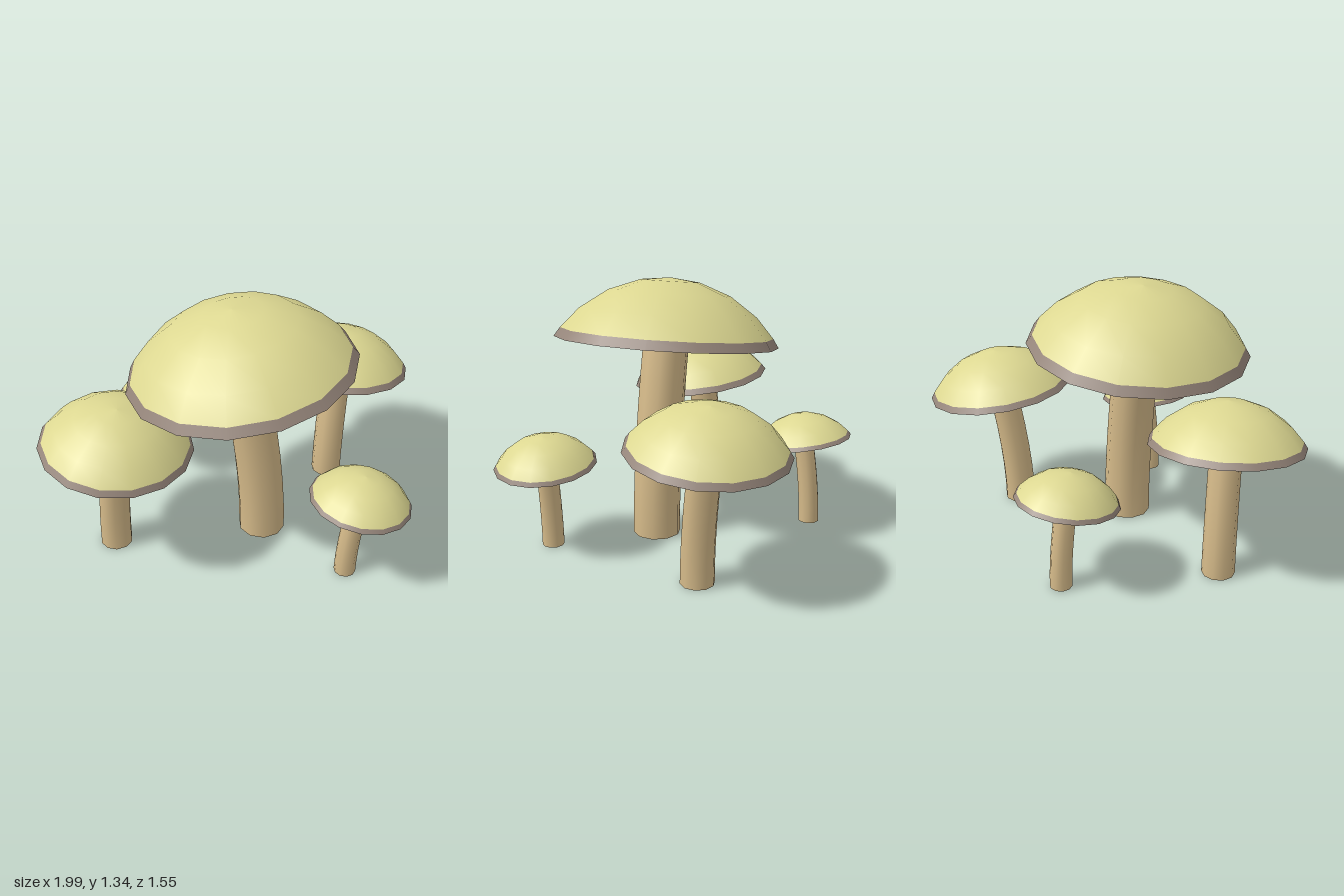
import * as THREE from 'three';

const SIDES = 15;
const material = (color) => new THREE.MeshStandardMaterial({ color });
const capMat = material(0xdcd791);
const rimMat = material(0x95857a);
const stemMat = material(0xd6bb8a);

function addMesh(parent, name, geometry, mat) {
  const mesh = new THREE.Mesh(geometry, mat);
  mesh.name = name;
  parent.add(mesh);
}

// Shallow spherical cap with a coloured rim ring and a flat underside
function makeCap(name, center, radius, slopeX, slopeZ) {
  const cap = new THREE.Group();
  cap.name = name + 'Cap';
  const height = radius * 0.565;
  const ball = (radius * radius + height * height) / (2 * height);
  const edge = Math.asin(radius / ball);
  const profile = (fractions) => fractions.map((f) => new THREE.Vector2(
    ball * Math.sin(edge * f), ball * Math.cos(edge * f) - ball + height));
  const lathe = (points) => new THREE.LatheGeometry(points, SIDES, Math.PI);

  addMesh(cap, name + 'Dome', lathe(profile([0.92, 0.72, 0.47, 0.22, 0])), capMat);
  addMesh(cap, name + 'Rim', lathe(profile([1, 0.92])), rimMat);
  addMesh(cap, name + 'Underside',
    lathe([new THREE.Vector2(0, 0), new THREE.Vector2(radius, 0)]), capMat);

  // Tilt so the rim plane rises by the given slopes
  const normal = new THREE.Vector3(-slopeX, 1, -slopeZ).normalize();
  cap.quaternion.setFromUnitVectors(new THREE.Vector3(0, 1, 0), normal);
  cap.position.copy(center);
  return cap;
}

// Cylinder bent along a curve that leaves the ground upright
function makeStem(base, top, radius) {
  const curve = new THREE.QuadraticBezierCurve3(
    base, new THREE.Vector3(base.x, top.y * 0.42, base.z), top);
  const geo = new THREE.CylinderGeometry(radius * 0.95, radius, 1, 10, 6);
  geo.translate(0, 0.5, 0);
  const pos = geo.attributes.position;
  const nor = geo.attributes.normal;
  const up = new THREE.Vector3(0, 1, 0);
  const turn = new THREE.Quaternion();
  const p = new THREE.Vector3();
  const n = new THREE.Vector3();
  for (let i = 0; i < pos.count; i++) {
    const t = pos.getY(i);
    turn.setFromUnitVectors(up, curve.getTangent(t));
    p.set(pos.getX(i), 0, pos.getZ(i)).applyQuaternion(turn).add(curve.getPoint(t));
    n.fromBufferAttribute(nor, i).applyQuaternion(turn);
    pos.setXYZ(i, p.x, p.y, p.z);
    nor.setXYZ(i, n.x, n.y, n.z);
  }
  return geo;
}

// Cap centre, cap radius, rim slopes along x and z, stem foot (x, z), stem radius
const MUSHROOMS = [
  { name: 'large', cap: [0.01, 1.01, 0.125], r: 0.577, slope: [0.14, 0], foot: [0.125, 0.13], stem: 0.125 },
  { name: 'frontRight', cap: [-0.62, 0.675, 0.235], r: 0.385, slope: [-0.09, -0.09], foot: [-0.667, 0.185], stem: 0.084 },
  { name: 'backLeft', cap: [0.61, 0.675, -0.395], r: 0.385, slope: [-0.07, 0.105], foot: [0.567, -0.325], stem: 0.084 },
  { name: 'smallFrontLeft', cap: [0.56, 0.455, 0.52], r: 0.257, slope: [-0.125, 0.01], foot: [0.51, 0.53], stem: 0.056 },
  { name: 'smallBackRight', cap: [-0.37, 0.457, -0.5], r: 0.257, slope: [0.01, -0.155], foot: [-0.372, -0.547], stem: 0.056 },
];

export function createModel() {
  const model = new THREE.Group();
  model.name = 'mushroomCluster';
  for (const m of MUSHROOMS) {
    const mushroom = new THREE.Group();
    mushroom.name = m.name + 'Mushroom';
    const center = new THREE.Vector3(...m.cap);
    mushroom.add(makeCap(m.name, center, m.r, ...m.slope));

    // The stem ends just inside the cap
    const top = center.clone().add(new THREE.Vector3(0, 0.025, 0));
    const foot = new THREE.Vector3(m.foot[0], 0, m.foot[1]);
    addMesh(mushroom, m.name + 'Stem', makeStem(foot, top, m.stem), stemMat);
    model.add(mushroom);
  }
  return model;
}
